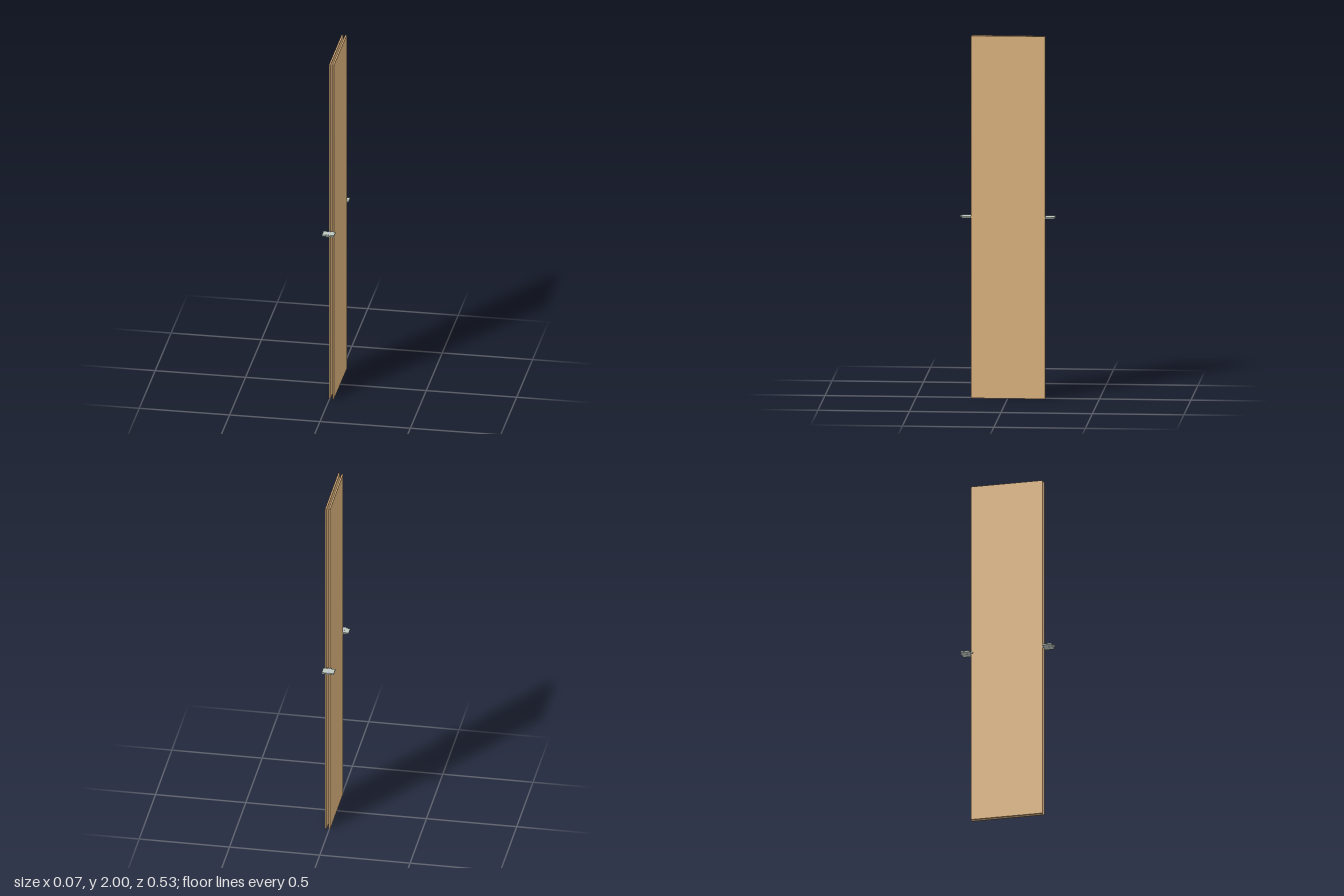
import * as THREE from 'three';

const wood = new THREE.MeshStandardMaterial({ color: 0xddb37e });
const metal = new THREE.MeshStandardMaterial({ color: 0xbfc8bf });
const steel = new THREE.MeshStandardMaterial({ color: 0xb9bdcc });

function box(name, material, size, position) {
  const mesh = new THREE.Mesh(new THREE.BoxGeometry(...size), material);
  mesh.name = name;
  mesh.position.set(...position);
  return mesh;
}

// Flat latch: plate, wide tongue towards +z and a narrow rib through to -z
function createLatch(name, z) {
  const latch = new THREE.Group();
  latch.name = name;
  latch.add(
    box('plate', metal, [0.067, 0.008, 0.051], [0, 0, 0]),
    box('tongue', metal, [0.023, 0.006, 0.024], [0, 0, 0.025]),
    box('rib', steel, [0.009, 0.009, 0.057], [0, 0, -0.0035])
  );
  latch.position.set(0, 1, z);
  return latch;
}

export function createModel() {
  const model = new THREE.Group();
  model.name = 'doublePanel';

  // Two tall parallel boards with a narrow gap
  model.add(
    box('centrePanel', wood, [0.009, 2, 0.399], [0, 1, -0.006]),
    box('sidePanel', wood, [0.009, 2, 0.405], [0.0195, 1, -0.003])
  );

  // One latch at each long edge, both facing the same way
  model.add(createLatch('backLatch', -0.2315), createLatch('frontLatch', 0.2255));
  return model;
}
